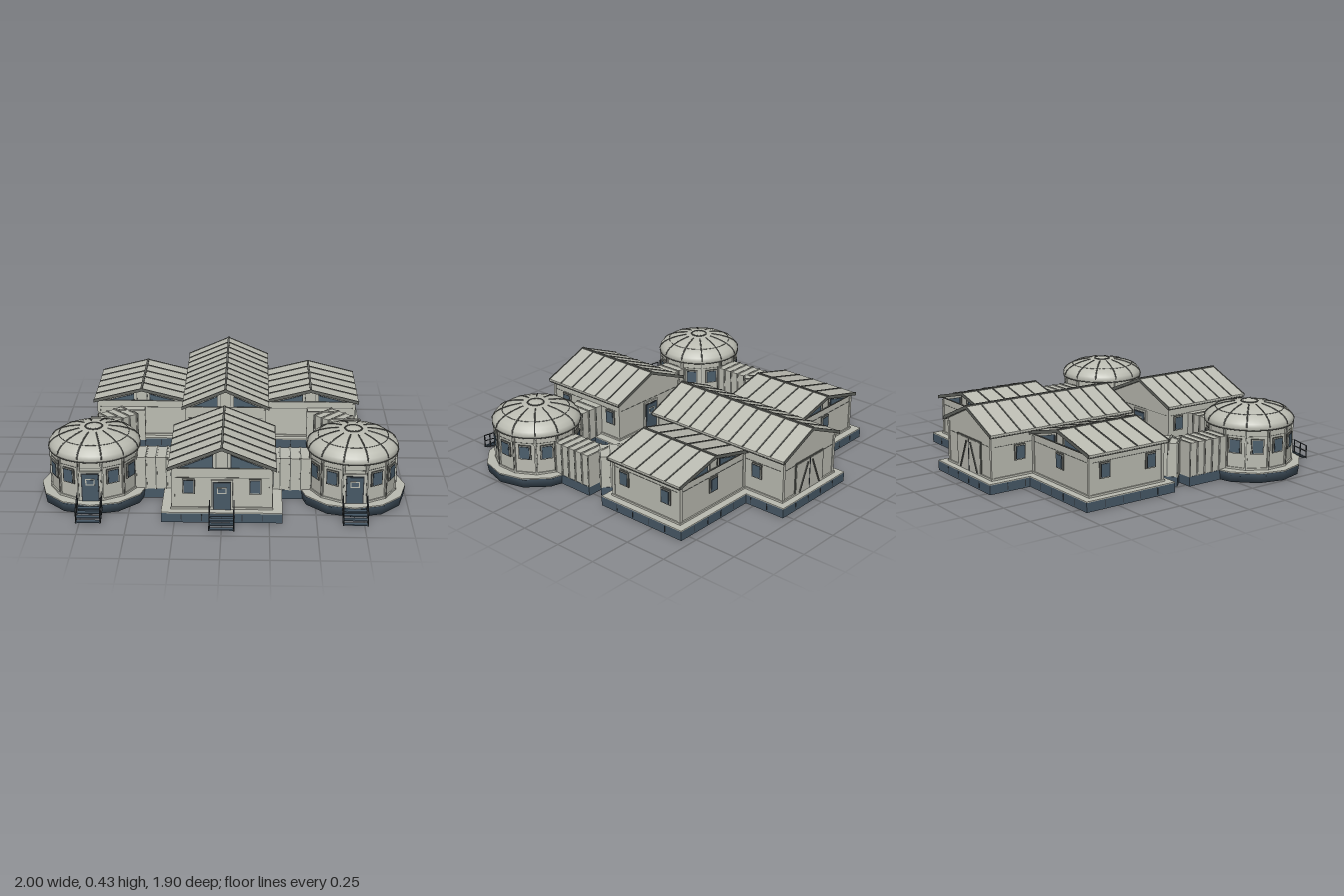
import * as THREE from 'three';
import { toCreasedNormals } from 'three/addons/utils/BufferGeometryUtils.js';

const mat = (name, color) => Object.assign(new THREE.MeshStandardMaterial({ color }), { name });
const M = {
  shell: mat('pale grey shell', 0xbbbcb2),
  slate: mat('slate base', 0x475866),
  glass: mat('blue grey glass', 0x4c5f6d),
  seam: mat('grey seam', 0x62645f),
  dark: mat('dark metal', 0x30363b),
};

function add(parent, name, geo, material, x = 0, y = 0, z = 0) {
  const mesh = new THREE.Mesh(geo, material);
  mesh.name = name;
  mesh.position.set(x, y, z);
  parent.add(mesh);
  return mesh;
}
const box = (parent, name, material, w, h, d, x, y, z) =>
  add(parent, name, new THREE.BoxGeometry(w, h, d), material, x, y, z);

function group(parent, name, x = 0, z = 0, ry = 0) {
  const g = new THREE.Group();
  g.name = name;
  g.position.set(x, 0, z);
  g.rotation.y = ry;
  parent.add(g);
  return g;
}
function bar(parent, name, material, a, b, t) {
  const va = new THREE.Vector3(...a), dir = new THREE.Vector3(...b).sub(va);
  const mesh = add(parent, name, new THREE.BoxGeometry(t, dir.length(), t), material);
  mesh.position.copy(va).addScaledVector(dir, 0.5);
  mesh.quaternion.setFromUnitVectors(new THREE.Vector3(0, 1, 0), dir.normalize());
}
// Cross-section in x/y, extruded along z between z0 and z1
function prism(parent, name, material, pts, z0, z1) {
  const shape = new THREE.Shape(pts.map(p => new THREE.Vector2(...p)));
  const geo = new THREE.ExtrudeGeometry(shape, { depth: z1 - z0, bevelEnabled: false });
  return add(parent, name, geo, material, 0, 0, z0);
}

// Wall fittings, all facing +z
function windowUnit(parent, x, z, ry, w = 0.066) {
  const g = group(parent, 'window', x, z, ry);
  box(g, 'windowFrame', M.seam, w, 0.086, 0.01, 0, 0.19, 0.002);
  box(g, 'windowRim', M.shell, w - 0.006, 0.08, 0.01, 0, 0.19, 0.004);
  box(g, 'windowGasket', M.dark, w - 0.012, 0.074, 0.006, 0, 0.19, 0.0075);
  box(g, 'windowGlass', M.glass, w - 0.018, 0.068, 0.006, 0, 0.19, 0.0085);
}
function door(parent, x, z, ry) {
  const g = group(parent, 'door', x, z, ry);
  box(g, 'doorFrame', M.shell, 0.114, 0.17, 0.016, 0, 0.143, 0.002);
  box(g, 'doorGasket', M.dark, 0.096, 0.16, 0.006, 0, 0.138, 0.009);
  box(g, 'doorLeaf', M.slate, 0.084, 0.152, 0.006, 0, 0.135, 0.011);
  box(g, 'doorPaneRim', M.shell, 0.05, 0.036, 0.004, 0, 0.17, 0.014);
  box(g, 'doorPane', M.glass, 0.038, 0.025, 0.004, 0, 0.17, 0.015);
}
function cargoDoor(parent, z) {
  const g = group(parent, 'cargoDoor', 0, z, Math.PI);
  box(g, 'cargoFrame', M.seam, 0.25, 0.19, 0.008, 0, 0.153, 0.002);
  box(g, 'cargoPanel', M.shell, 0.236, 0.182, 0.008, 0, 0.149, 0.004);
  box(g, 'cargoSplit', M.dark, 0.004, 0.182, 0.004, 0, 0.149, 0.008);
  for (const s of [-1, 1]) {
    bar(g, 'cargoBrace', M.seam, [s * 0.09, 0.065, 0.009], [s * 0.02, 0.225, 0.009], 0.008);
  }
}
function stairs(parent, x, z) {
  const g = group(parent, 'stairs', x, z);
  for (let i = 0; i < 4; i++) box(g, 'tread', M.slate, 0.125, 0.006, 0.025, 0, 0.048 - i * 0.013, 0.013 + i * 0.026);
  for (const s of [-0.064, 0.064]) {
    bar(g, 'stringer', M.dark, [s, 0.045, 0], [s, 0.005, 0.102], 0.008);
    for (let i = 0; i < 3; i++) {
      const pz = 0.004 + i * 0.048, py = 0.045 - i * 0.018;
      bar(g, 'railPost', M.dark, [s, py, pz], [s, py + 0.085 - i * 0.009, pz], 0.005);
    }
    for (const h of [0, 0.035]) bar(g, 'handRail', M.dark, [s, 0.13 - h, 0], [s, 0.076 - h, 0.102], 0.005);
  }
}

// Slate plinth with a pale deck and panel joints
function platform(parent, x0, x1, z0, z1) {
  const w = x1 - x0, d = z1 - z0, g = group(parent, 'platform', (x0 + x1) / 2, (z0 + z1) / 2);
  box(g, 'plinth', M.slate, w, 0.052, d, 0, 0.026, 0);
  box(g, 'deck', M.shell, w, 0.006, d, 0, 0.055, 0);
  const nx = Math.round(w / 0.11), nz = Math.round(d / 0.11);
  for (let i = 1; i < nx; i++) box(g, 'joint', M.dark, 0.004, 0.036, d + 0.003, -w / 2 + i * w / nx, 0.028, 0);
  for (let i = 1; i < nz; i++) box(g, 'joint', M.dark, w + 0.003, 0.036, 0.004, 0, 0.028, -d / 2 + i * d / nz);
}

// Gabled building with its ridge along z; glazed lists the glazed gable ends
function house(parent, name, x, z, o) {
  const g = group(parent, name, x, z), { hw, hd, eave, ridge, glazed } = o;
  const rw = hw + 0.022, rd = hd + 0.018, slope = (ridge - eave) / rw, t = 0.016;
  const yAt = px => ridge - t - slope * Math.abs(px);
  prism(g, 'walls', M.shell, [[-hw, 0.05], [hw, 0.05], [hw, yAt(hw)], [0, yAt(0)], [-hw, yAt(hw)]], -hd, hd);
  const chevron = (w, up, down) => [[-w, eave + up], [-w, eave - down], [0, ridge - down], [w, eave - down], [w, eave + up], [0, ridge + up]];
  prism(g, 'roof', M.shell, chevron(rw, 0, t), -rd, rd);
  for (const s of [-1, 1]) prism(g, 'rakeTrim', M.seam, chevron(rw + 0.002, 0.003, t), s * rd - 0.003, s * rd + 0.003);
  // Standing seams and ridge cap
  const n = Math.round(2 * rd / 0.0935);
  for (let i = 1; i < n; i++) {
    const sz = -rd + i * 2 * rd / n;
    prism(g, 'roofSeam', M.seam, chevron(rw, 0.004, 0.004), sz - 0.004, sz + 0.004);
  }
  box(g, 'ridgeCap', M.seam, 0.012, 0.008, 2 * rd, 0, ridge + 0.001, 0);
  for (const s of [-1, 1]) box(g, 'eaveTrim', M.seam, 0.004, 0.006, 2 * rd, s * rw, eave - t + 0.002, 0);
  // Wall bands and corner posts
  box(g, 'baseTrim', M.shell, 2 * hw + 0.016, 0.012, 2 * hd + 0.016, 0, 0.063, 0);
  box(g, 'wallLine', M.seam, 2 * hw + 0.003, 0.003, 2 * hd + 0.003, 0, 0.238, 0);
  for (const sx of [-1, 1]) for (const sz of [-1, 1]) {
    box(g, 'cornerPost', M.shell, 0.018, eave - 0.07, 0.018, sx * (hw - 0.005), (eave + 0.03) / 2, sz * (hd - 0.005));
  }
  // Gable glazing
  for (const end of glazed) {
    const f = group(g, 'gable', 0, end * hd, end > 0 ? 0 : Math.PI);
    const y0 = yAt(hw) + 0.008, a = 0.05, b = hw - (0.02 / slope);
    box(f, 'gableSill', M.seam, 2 * hw, 0.005, 0.012, 0, y0 - 0.006, 0);
    for (const s of [-1, 1]) {
      const tri = (m) => {
        const p = [[s * (a - m), y0 - m], [s * (b + m * 2), y0 - m], [s * (a - m), yAt(a) - 0.012 + m]];
        return s > 0 ? p : p.reverse();
      };
      prism(f, 'gableFrame', M.dark, tri(0.004), 0, 0.003);
      prism(f, 'gableGlass', M.glass, tri(0), 0, 0.006);
      box(f, 'gablePost', M.seam, 0.004, yAt(0.03) - y0, 0.008, s * 0.03, (yAt(0.03) + y0) / 2, 0);
    }
  }
  return g;
}

// Ribbed passage between two floor points
function corridor(parent, x0, z0, x1, z1) {
  const dx = x1 - x0, dz = z1 - z0, len = Math.hypot(dx, dz);
  const g = group(parent, 'corridor', (x0 + x1) / 2, (z0 + z1) / 2, Math.atan2(dx, dz));
  box(g, 'corridorBase', M.slate, 0.155, 0.054, len, 0, 0.027, 0);
  box(g, 'corridorShell', M.shell, 0.15, 0.188, len, 0, 0.146, 0);
  const n = Math.max(1, Math.round(len / 0.055));
  for (let i = 0; i <= n; i++) {
    const z = (i / n - 0.5) * (len - 0.006);
    box(g, 'corridorRib', M.shell, 0.158, 0.19, 0.014, 0, 0.148, z);
    box(g, 'corridorSeam', M.seam, 0.16, 0.19, 0.005, 0, 0.149, z);
  }
}

// Twelve-sided domed pod; inner is the x direction of its side corridor
function pod(parent, x, z, inner) {
  const g = group(parent, 'domePod', x, z);
  const v = pts => pts.map(p => new THREE.Vector2(...p));
  add(g, 'podPlinth', new THREE.LatheGeometry(v([[0, 0], [0.29, 0], [0.297, 0.052]]), 12), M.slate);
  add(g, 'podDeck', toCreasedNormals(new THREE.CylinderGeometry(0.297, 0.297, 0.006, 12), 0.3), M.shell, 0, 0.055, 0);
  const drum = (name, r, h, y, m) =>
    add(g, name, toCreasedNormals(new THREE.CylinderGeometry(r, r, h, 12, 1, false, Math.PI / 12), 0.3), m, 0, y, 0);
  drum('podWall', 0.24, 0.23, 0.17, M.shell);
  drum('podBaseTrim', 0.247, 0.012, 0.063, M.shell);
  drum('podWallLine', 0.2415, 0.003, 0.245, M.seam);
  // Dome shell, eave ring and meridian ribs
  const arc = [[0.25, 0.298], [0.244, 0.316], [0.225, 0.337], [0.19, 0.357], [0.14, 0.374], [0.08, 0.386], [0.001, 0.391]];
  const dome = new THREE.LatheGeometry(v([[0.225, 0.277], [0.246, 0.28], ...arc]), 48);
  add(g, 'dome', toCreasedNormals(dome, 0.7), M.shell);
  const ring = (name, r, y, t) => { add(g, name, new THREE.TorusGeometry(r, t, 6, 48), M.seam, 0, y, 0).rotation.x = Math.PI / 2; };
  ring('eaveRing', 0.248, 0.283, 0.003);
  ring('domeRing', 0.19, 0.357, 0.002);
  ring('capRing', 0.046, 0.391, 0.004);
  add(g, 'domeCap', new THREE.SphereGeometry(0.044, 24, 8, 0, Math.PI * 2, 0, Math.PI / 2), M.shell, 0, 0.388, 0).scale.y = 0.25;
  const curve = new THREE.CatmullRomCurve3(arc.slice(0, 6).map(([r, y]) => new THREE.Vector3(0, y, r)));
  const rib = new THREE.TubeGeometry(curve, 12, 0.004, 5);
  for (let i = 0; i < 12; i++) {
    const face = i * Math.PI / 6, edge = face + Math.PI / 12;
    add(g, 'domeRib', rib, M.seam).rotation.y = edge;
    const post = group(g, 'wallPost', 0, 0, edge);
    box(post, 'podPost', M.shell, 0.016, 0.22, 0.012, 0, 0.168, 0.239);
    box(post, 'podPostLine', M.seam, 0.004, 0.22, 0.004, 0, 0.168, 0.245);
    if (i === 0) door(g, 0, 0.232, 0);
    else if (i !== 6 && i !== (inner > 0 ? 3 : 9)) {
      windowUnit(g, Math.sin(face) * 0.232, Math.cos(face) * 0.232, face, 0.072);
    }
  }
  stairs(g, 0, 0.295);
}

export function createModel() {
  const root = new THREE.Group();
  root.name = 'habitatBase';
  const H = Math.PI / 2;

  platform(root, -0.28, 0.28, -0.95, 0.04);
  platform(root, -0.32, 0.32, 0.215, 0.85);

  // Long central hall
  const hall = house(root, 'centralHall', 0, -0.457, { hw: 0.23, hd: 0.448, eave: 0.312, ridge: 0.422, glazed: [1] });
  door(hall, 0, 0.448, 0);
  cargoDoor(hall, -0.448);

  // Front hall
  const front = house(root, 'frontHall', 0, 0.532, { hw: 0.262, hd: 0.27, eave: 0.298, ridge: 0.415, glazed: [1] });
  door(front, 0, 0.27, 0);
  door(front, 0, -0.27, Math.PI);
  stairs(root, 0, 0.848);

  for (const s of [-1, 1]) {
    windowUnit(front, s * 0.175, 0.27, 0);
    windowUnit(hall, s * 0.23, -0.275, s * H);
    for (const z of [0.16, -0.2]) windowUnit(front, s * 0.262, z, s * H);

    // Side wing
    platform(root, s > 0 ? 0.28 : -0.81, s > 0 ? 0.81 : -0.28, -0.7, -0.13);
    const wing = house(root, 'sideWing', s * 0.5, -0.412, { hw: 0.262, hd: 0.238, eave: 0.288, ridge: 0.36, glazed: [-1, 1] });
    for (const z of [0.152, -0.143]) windowUnit(wing, s * 0.262, z, s * H);
    windowUnit(wing, 0, -0.238, Math.PI);

    // Domed pod and its passages
    pod(root, s * 0.703, 0.482, -s);
    corridor(root, s * 0.25, 0.482, s * 0.48, 0.482);
    corridor(root, s * 0.703, 0.26, s * 0.703, -0.005);
    corridor(root, s * 0.69, -0.003, s * 0.57, -0.115);
    corridor(root, s * 0.556, -0.11, s * 0.556, -0.19);
  }
  return root;
}
